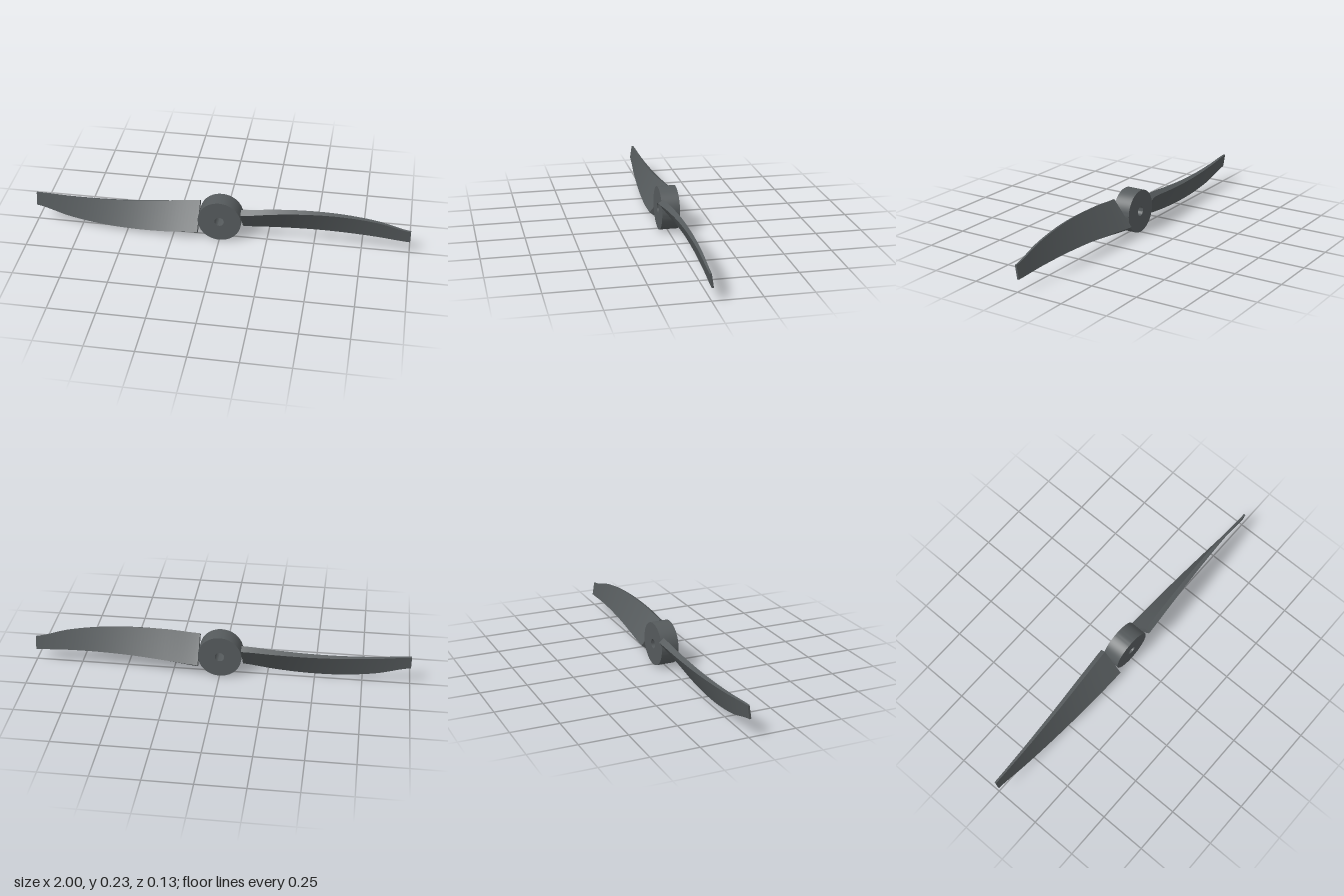
import * as THREE from 'three';
import { toCreasedNormals } from 'three/addons/utils/BufferGeometryUtils.js';

const CENTRE_Y = 0.115;
const ROOT_X = 0.115;
const STATIONS = 48;

const spline = (pts) => new THREE.SplineCurve(pts.map(([x, y]) => new THREE.Vector2(x, y)));

// Rectangular section lofted from root to tip, swept, tapered and twisted
function bladeGeometry() {
  const top = spline([[0.115, 0.2], [0.29, 0.216], [0.47, 0.221], [0.64, 0.212], [0.82, 0.185], [1, 0.137]]);
  const bottom = spline([[0.115, 0.044], [0.29, 0.061], [0.47, 0.075], [0.64, 0.08], [0.82, 0.076], [1, 0.064]]);
  const corners = [[1, 1], [-1, 1], [-1, -1], [1, -1]];
  const pos = [], index = [];
  for (let i = 0; i <= STATIONS; i++) {
    const t = i / STATIONS;
    const x = THREE.MathUtils.lerp(ROOT_X, 1, t);
    const yTop = top.getPoint(t).y, yBottom = bottom.getPoint(t).y;
    const twist = THREE.MathUtils.degToRad(THREE.MathUtils.lerp(38.5, 9, t));
    const thick = THREE.MathUtils.lerp(0.017, 0.005, t);
    const s = Math.sin(twist), c = Math.cos(twist);
    const chord = ((yTop - yBottom) / 2 - thick * s) / c;
    const mid = (yTop + yBottom) / 2 - CENTRE_Y;
    for (const [u, v] of corners) {
      pos.push(x, mid + u * chord * c - v * thick * s, u * chord * s + v * thick * c);
    }
    if (i < STATIONS) {
      for (let j = 0; j < 4; j++) {
        const a = i * 4 + j, b = i * 4 + ((j + 1) % 4);
        index.push(a, b, a + 4, b, b + 4, a + 4);
      }
    }
  }
  // Root and tip caps
  const e = STATIONS * 4;
  index.push(0, 2, 1, 0, 3, 2, e, e + 1, e + 2, e, e + 2, e + 3);
  const geo = new THREE.BufferGeometry();
  geo.setAttribute('position', new THREE.Float32BufferAttribute(pos, 3));
  geo.setIndex(index);
  return toCreasedNormals(geo, 0.5);
}

// Cylinder with a through bore, axis along z
function hubGeometry() {
  const R = 0.115, r = 0.025, z0 = -0.05, z1 = 0.045;
  const profile = [[r, z0], [R, z0], [R, z1], [r, z1], [r, z0]].map(([x, y]) => new THREE.Vector2(x, y));
  const geo = new THREE.LatheGeometry(profile, 72);
  geo.rotateX(Math.PI / 2);
  return toCreasedNormals(geo, 0.5);
}

export function createModel() {
  const group = new THREE.Group();
  group.name = 'propeller';
  const material = new THREE.MeshStandardMaterial({ color: 0x555a5c });

  const hub = new THREE.Mesh(hubGeometry(), material);
  hub.name = 'hub';
  hub.position.y = CENTRE_Y;
  group.add(hub);

  // Two identical blades, half a turn apart
  const geo = bladeGeometry();
  ['leftBlade', 'rightBlade'].forEach((name, k) => {
    const blade = new THREE.Mesh(geo, material);
    blade.name = name;
    blade.position.y = CENTRE_Y;
    blade.rotation.z = k * Math.PI;
    group.add(blade);
  });
  return group;
}
